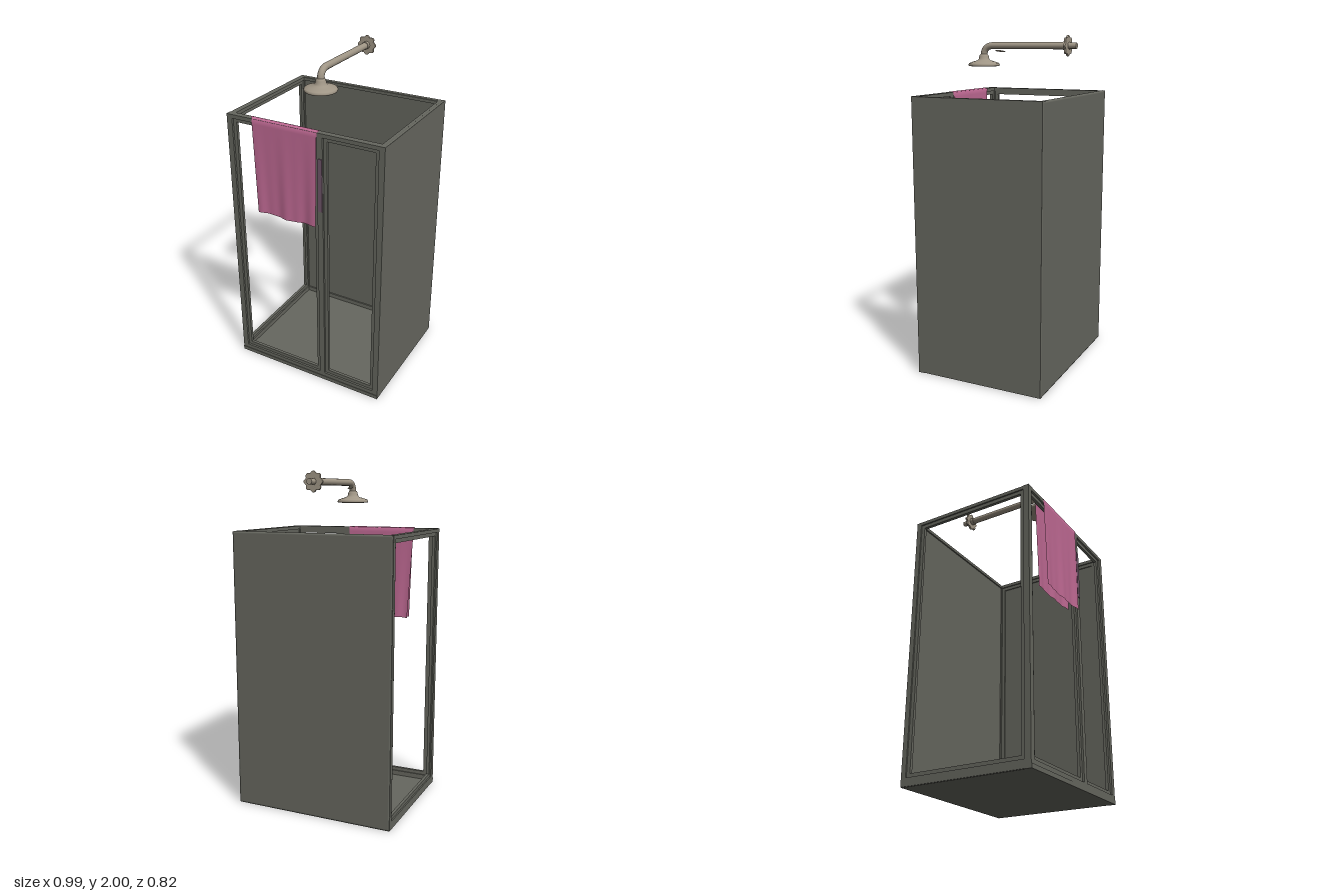
import * as THREE from 'three';
import { RoundedBoxGeometry } from 'three/addons/geometries/RoundedBoxGeometry.js';

const X0 = -0.497, X1 = 0.494, Z0 = -0.41, Z1 = 0.398, H = 1.668;

function material(name, color, side = THREE.FrontSide) {
  const m = new THREE.MeshStandardMaterial({ color, side });
  m.name = name;
  return m;
}

function rectPath(path, a, b, c, d) {
  path.moveTo(a, c);
  path.lineTo(b, c);
  path.lineTo(b, d);
  path.lineTo(a, d);
  path.closePath();
  return path;
}

// Flat frame with rectangular openings; each rectangle is [x0, x1, y0, y1]
function frameGeometry(outer, holes, depth) {
  const shape = rectPath(new THREE.Shape(), ...outer);
  for (const h of holes) shape.holes.push(rectPath(new THREE.Path(), ...h));
  return new THREE.ExtrudeGeometry(shape, { depth, bevelEnabled: false });
}

const inset = ([a, b, c, d], t) => [a + t, b - t, c + t, d - t];

export function createModel() {
  const root = new THREE.Group();
  const grey = material('enclosure grey', 0x66675f);
  const metal = material('brushed metal', 0xa09686);
  const pink = material('towel pink', 0xc06a94, THREE.DoubleSide);
  const mauve = material('handle mauve', 0x70566a);

  const add = (name, geo, mat, x = 0, y = 0, z = 0, parent = root) => {
    const m = new THREE.Mesh(geo, mat);
    m.name = name;
    m.position.set(x, y, z);
    parent.add(m);
    return m;
  };

  // Tray floor
  add('trayFloor', new THREE.BoxGeometry(X1 - X0 - 0.01, 0.02, Z1 - Z0 - 0.01), grey,
    (X0 + X1) / 2, 0.01, (Z0 + Z1) / 2);

  // Front: outer frame with two bays and a recessed sash in each
  const bays = [[X0 + 0.035, 0.09, 0.05, 1.645], [0.125, X1 - 0.035, 0.05, 1.645]];
  add('frontFrame', frameGeometry([X0, X1, 0, H], bays, 0.037), grey, 0, 0, Z1 - 0.037);
  for (const bay of bays)
    add('doorSash', frameGeometry(bay, [inset(bay, 0.022)], 0.018), grey, 0, 0, Z1 - 0.03);
  add('frontSill', new THREE.BoxGeometry(X1 - X0, 0.025, 0.006), grey, (X0 + X1) / 2, 0.0125, Z1);
  add('doorHandle', new THREE.BoxGeometry(0.026, 0.32, 0.008), mauve, 0.11, 1.36, Z1 + 0.001);

  // Sides: open framed bay on the right, closed panel on the left
  const sideOuter = [-Z1 + 0.002, -Z0 - 0.004, 0.002, H - 0.002];
  const sideBay = [-Z1 + 0.037, -Z0 - 0.035, 0.05, 1.645];
  for (const [name, x] of [['rightSide', X0], ['leftSide', X1 - 0.035]]) {
    const g = new THREE.Group();
    g.name = name;
    g.rotation.y = Math.PI / 2;
    g.position.x = x;
    root.add(g);
    add('sideFrame', frameGeometry(sideOuter, [sideBay], 0.035), grey, 0, 0, 0, g);
    add('sideSash', frameGeometry(sideBay, [inset(sideBay, 0.022)], 0.018), grey, 0, 0, 0.008, g);
  }
  add('leftPanel', new RoundedBoxGeometry(0.02, H, Z1 - Z0 - 0.002, 2, 0.008), grey,
    X1 - 0.01, H / 2, (Z0 + Z1) / 2);

  // Back: rounded solid panel with an inner frame
  add('backPanel', new RoundedBoxGeometry(X1 - X0, H, 0.026, 3, 0.012), grey,
    (X0 + X1) / 2, H / 2, Z0 + 0.013);
  const backOuter = [X0 + 0.004, X1 - 0.004, 0.004, H - 0.004];
  add('backFrame', frameGeometry(backOuter, [[X0 + 0.035, X1 - 0.035, 0.05, 1.645]], 0.02),
    grey, 0, 0, Z0 + 0.015);

  // Towel folded over the front rail
  const towelGeo = new THREE.PlaneGeometry(1, 1, 32, 48);
  const pos = towelGeo.attributes.position;
  for (let i = 0; i < pos.count; i++) {
    const u = pos.getX(i) + 0.5, v = pos.getY(i) + 0.5;
    const front = v < 0.5;
    const s = Math.max(0, 1 - Math.abs(v - 0.5) / 0.04);       // across the rail
    const drop = Math.max(0, (Math.abs(v - 0.5) - 0.04) / 0.46); // down each flap
    const left = front ? -0.325 + 0.02 * drop : -0.345 + 0.035 * drop;
    const right = front ? 0.092 - 0.01 * drop : 0.095 - 0.04 * drop;
    const x = left + (right - left) * u;
    const fold = 0.004 * drop * (Math.sin(u * 13 + 1) + 0.5 * Math.sin(u * 29));
    const sign = front ? 1 : -1;
    const z = 0.379 + sign * (0.023 * (1 - s) + 0.004 * drop) + fold;
    const y = 1.672 - 0.004 * (1 - s) - 0.572 * drop + 0.004 * drop * Math.sin(u * 9);
    pos.setXYZ(i, x, y, z);
  }
  towelGeo.computeVertexNormals();
  add('towel', towelGeo, pink);

  // Shower arm: wall stub, straight run and bend down to the head
  const shower = new THREE.Group();
  shower.name = 'shower';
  root.add(shower);
  const armY = 1.945, headZ = 0.195;
  const arm = new THREE.CurvePath();
  const p = (y, z) => new THREE.Vector3(0, y, z);
  arm.add(new THREE.LineCurve3(p(armY, -0.36), p(armY, headZ - 0.06)));
  arm.add(new THREE.CubicBezierCurve3(p(armY, headZ - 0.06), p(armY, headZ - 0.025),
    p(armY - 0.02, headZ), p(armY - 0.055, headZ)));
  arm.add(new THREE.LineCurve3(p(armY - 0.055, headZ), p(1.86, headZ)));
  add('showerArm', new THREE.TubeGeometry(arm, 60, 0.02, 16), metal, 0, 0, 0, shower);
  add('wallStub', new THREE.CylinderGeometry(0.017, 0.017, 0.06, 16), metal, 0, armY, -0.37, shower)
    .rotation.x = Math.PI / 2;
  add('stubCollar', new THREE.CylinderGeometry(0.023, 0.023, 0.035, 16), metal, 0, armY, -0.335, shower)
    .rotation.x = Math.PI / 2;

  // Lobed wall flange
  const lobes = [];
  for (let i = 0; i < 64; i++) {
    const a = i / 64 * Math.PI * 2, r = 0.052 + 0.005 * Math.cos(a * 8);
    lobes.push(new THREE.Vector2(r * Math.sin(a), r * Math.cos(a)));
  }
  add('wallFlange', new THREE.ExtrudeGeometry(new THREE.Shape(lobes), {
    depth: 0.008, bevelSize: 0.002, bevelThickness: 0.003, bevelSegments: 2,
  }), metal, 0, armY, -0.35, shower);

  // Shower head
  const profile = [[0, 1.828], [0.08, 1.828], [0.085, 1.824], [0.092, 1.825], [0.095, 1.832],
    [0.09, 1.842], [0.065, 1.851], [0.04, 1.858], [0.031, 1.868], [0.029, 1.882],
    [0.024, 1.893], [0.018, 1.895]].map(([r, y]) => new THREE.Vector2(r, y));
  add('showerHead', new THREE.LatheGeometry(profile, 32), metal, 0, 0, headZ, shower);

  // Small lever under the arm
  const lever = add('lever', new THREE.SphereGeometry(1, 12, 8), metal, -0.026, 1.913, 0.098, shower);
  lever.scale.set(0.01, 0.005, 0.036);
  lever.rotation.x = -0.1;

  return root;
}
